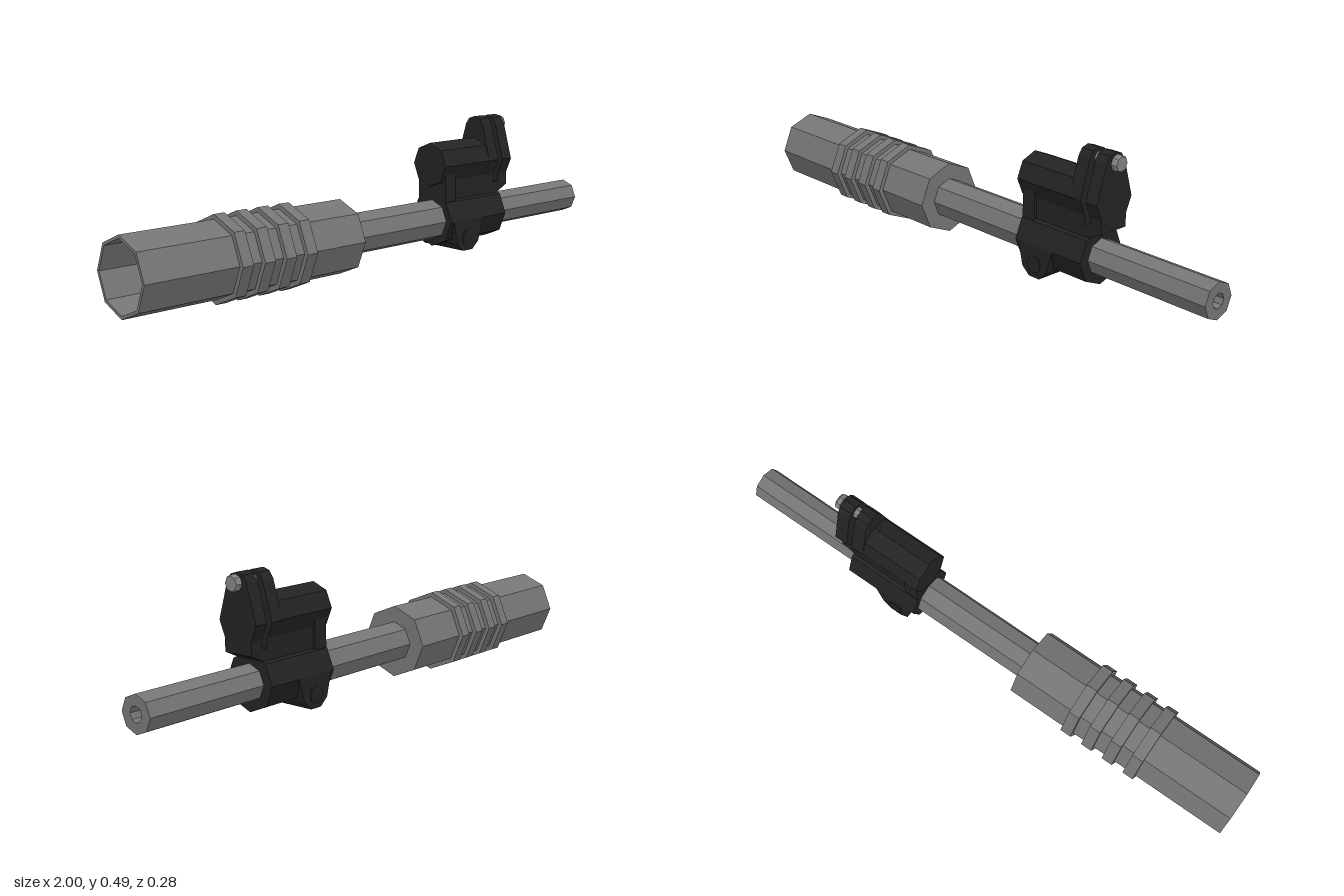
import * as THREE from 'three';

const AXIS = 0.142; // height of the main tube axis

export function createModel() {
  const model = new THREE.Group();
  const mat = (name, color) => {
    const m = new THREE.MeshStandardMaterial({ color, flatShading: true });
    m.name = name;
    return m;
  };
  const steel = mat('grey steel', 0x757575);
  const black = mat('black metal', 0x232323);
  const bolt = mat('light steel', 0x828282);

  const add = (name, geometry, material) => {
    const mesh = new THREE.Mesh(geometry, material);
    mesh.name = name;
    model.add(mesh);
    return mesh;
  };
  // Octagonal turned part along x, from [radius, x] pairs
  const turned = (name, profile, y, material) => {
    const g = new THREE.LatheGeometry(profile.map(([r, x]) => new THREE.Vector2(r, x)), 8);
    g.rotateZ(-Math.PI / 2).translate(0, y, 0);
    return add(name, g, material);
  };
  const rod = (name, r, x0, x1, y, material) =>
    turned(name, [[0, x0], [r, x0], [r, x1], [0, x1]], y, material);
  const shapeOf = (pts) => new THREE.Shape(pts.map(([a, b]) => new THREE.Vector2(a, b)));
  // Side profile (x, y) extruded across z
  const sidePart = (name, pts, halfWidth) => {
    const g = new THREE.ExtrudeGeometry(shapeOf(pts), { depth: 2 * halfWidth, bevelEnabled: false });
    return add(name, g.translate(0, 0, -halfWidth), black);
  };
  // Symmetric end profile (half width, y) extruded along x
  const endPart = (name, half, x0, x1) => {
    const pts = [...half, ...half.filter(([z]) => z > 0).reverse().map(([z, y]) => [-z, y])];
    const g = new THREE.ExtrudeGeometry(shapeOf(pts), { depth: x1 - x0, bevelEnabled: false });
    return add(name, g.rotateY(Math.PI / 2).translate(x0, 0, 0), black);
  };

  // Hollow sleeve with four raised rings
  turned('sleeve', [[0, -0.3], [0.114, -0.3], [0.114, -1], [0.125, -1], [0.125, -0.165], [0, -0.165]], AXIS, steel);
  for (let i = 0; i < 4; i++) {
    const x = -0.65 + i * 0.083;
    rod('sleeveRing', 0.141, x - 0.02, x + 0.02, AXIS, steel);
  }

  // Stepped tube with a bored end
  turned('mainTube', [[0, -0.2], [0.07, -0.2], [0.07, 0.28], [0.06, 0.28], [0.06, 1], [0.025, 1], [0.025, 0.93], [0, 0.93]], AXIS, steel);

  // Collar and the cross lug beneath it
  rod('collar', 0.095, 0.267, 0.55, AXIS, black);
  sidePart('crossLug', [[0.3, 0.06], [0.33, 0.034], [0.375, 0.034], [0.405, 0.06], [0.43, 0.142], [0.28, 0.142]], 0.095);
  const pin = new THREE.CylinderGeometry(0.03, 0.03, 0.196, 8);
  pin.rotateX(Math.PI / 2).translate(0.352, 0.079, 0);
  add('crossPin', pin, black);

  // Neck, rear post and upper tube
  sidePart('neck', [[0.32, 0.19], [0.55, 0.19], [0.55, 0.216], [0.596, 0.238], [0.596, 0.254],
    [0.5, 0.254], [0.5, 0.29], [0.32, 0.29]], 0.055);
  sidePart('rearPost', [[0.267, 0.19], [0.32, 0.19], [0.32, 0.31], [0.308, 0.325], [0.279, 0.325], [0.267, 0.31]], 0.064);
  rod('upperTube', 0.077, 0.254, 0.5, 0.337, black);

  // Pair of tapered upright plates
  const plate = [[0.055, 0.238], [0.055, 0.283], [0.077, 0.335], [0.04, 0.46], [0.025, 0.482], [0, 0.49]];
  endPart('innerPlate', plate, 0.481, 0.528);
  endPart('outerPlate', plate, 0.549, 0.596);

  // Clamping screw through the plates
  rod('screwShaft', 0.02, 0.5, 0.605, 0.457, bolt);
  turned('screwHead', [[0, 0.601], [0.028, 0.601], [0.028, 0.615], [0.024, 0.621], [0, 0.621]], 0.457, bolt);

  return model;
}
